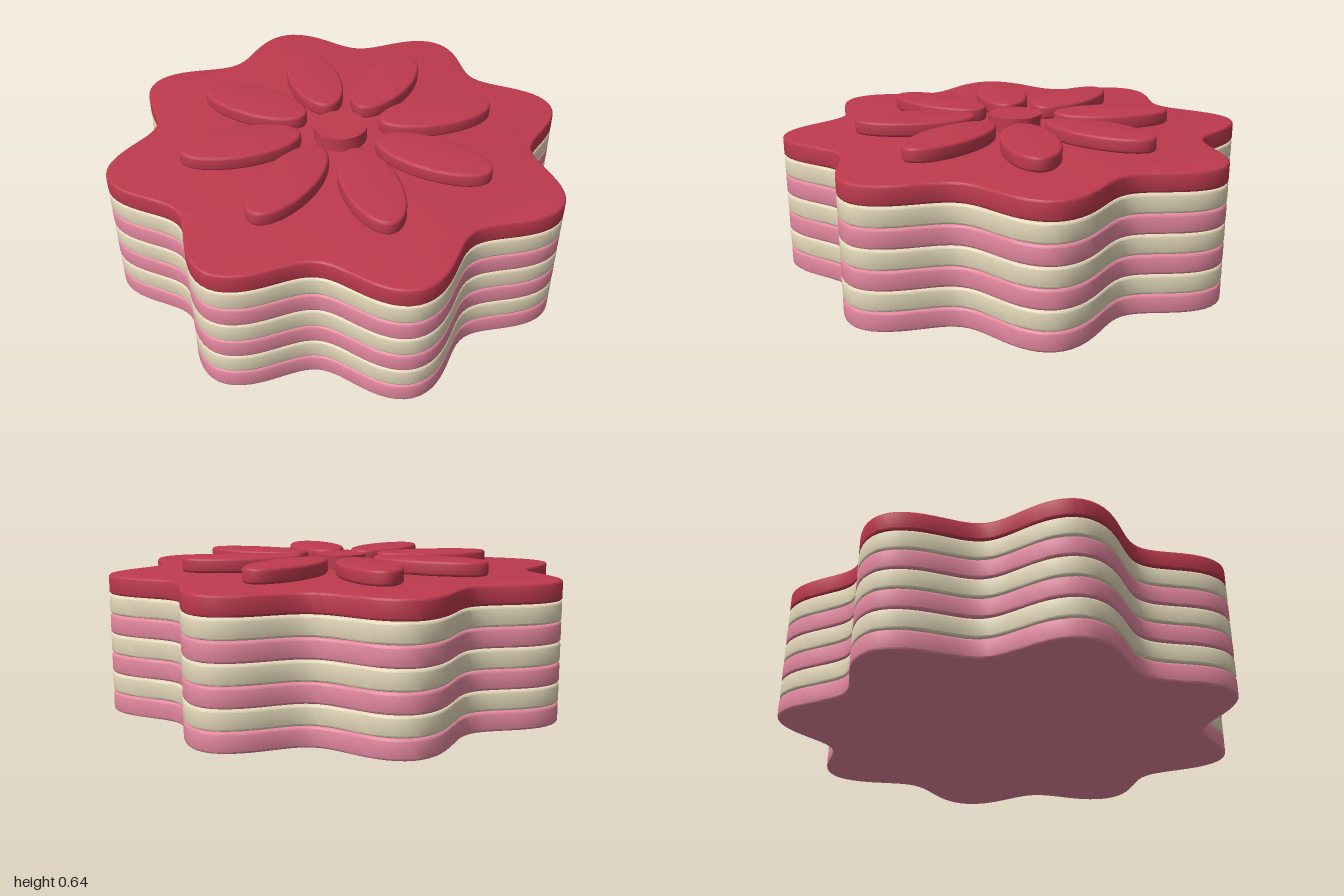
import * as THREE from 'three';
import { toCreasedNormals } from 'three/addons/utils/BufferGeometryUtils.js';

const makeMaterial = (name, color) => {
  const m = new THREE.MeshStandardMaterial({ color });
  m.name = name;
  return m;
};

// Closed outline from a function of the angle that returns [x, y]
function outline(count, pointAt) {
  const points = [];
  for (let i = 0; i < count; i++) {
    points.push(new THREE.Vector2(...pointAt((i / count) * Math.PI * 2)));
  }
  return new THREE.Shape(points);
}

// Horizontal plate with rounded rims, standing on y = 0
function plate(shape, height, bevel) {
  const geometry = new THREE.ExtrudeGeometry(shape, {
    depth: height - 2 * bevel,
    bevelThickness: bevel,
    bevelSize: bevel,
    bevelOffset: -bevel,
    bevelSegments: 3,
  });
  geometry.translate(0, 0, bevel);
  geometry.rotateX(-Math.PI / 2);
  return toCreasedNormals(geometry, 0.6);
}

export function createModel() {
  const red = makeMaterial('red', 0xbe3a4e);
  const pink = makeMaterial('pink', 0xe4889f);
  const cream = makeMaterial('cream', 0xe4d8ba);

  const model = new THREE.Group();
  model.name = 'layeredFlower';

  const add = (name, geometry, material, y) => {
    const mesh = new THREE.Mesh(geometry, material);
    mesh.name = name;
    mesh.position.y = y;
    model.add(mesh);
    return mesh;
  };

  // Seven stacked plates with an eight-lobed wavy outline
  const pitch = 0.083;
  const thickness = 0.08;
  const wavy = outline(192, (a) => {
    const r = 0.91 + 0.09 * Math.cos(8 * a);
    return [r * Math.cos(a), r * Math.sin(a)];
  });
  const layer = plate(wavy, thickness, 0.009);
  for (let i = 0; i < 6; i++) {
    add(`layer${i + 1}`, layer, i % 2 ? cream : pink, i * pitch);
  }
  add('topLayer', layer, red, 6 * pitch);

  // Raised flower: eight oval petals around a round centre
  const top = 6 * pitch + thickness;
  const relief = 0.062;
  const oval = outline(64, (a) => [0.435 + 0.259 * Math.cos(a), 0.118 * Math.sin(a)]);
  const petal = plate(oval, relief, 0.012);
  for (let i = 0; i < 8; i++) {
    add(`petal${i + 1}`, petal, red, top).rotation.y = (i * Math.PI) / 4;
  }
  add('flowerCentre', new THREE.CylinderGeometry(0.115, 0.115, relief, 48), red, top + relief / 2);

  return model;
}
